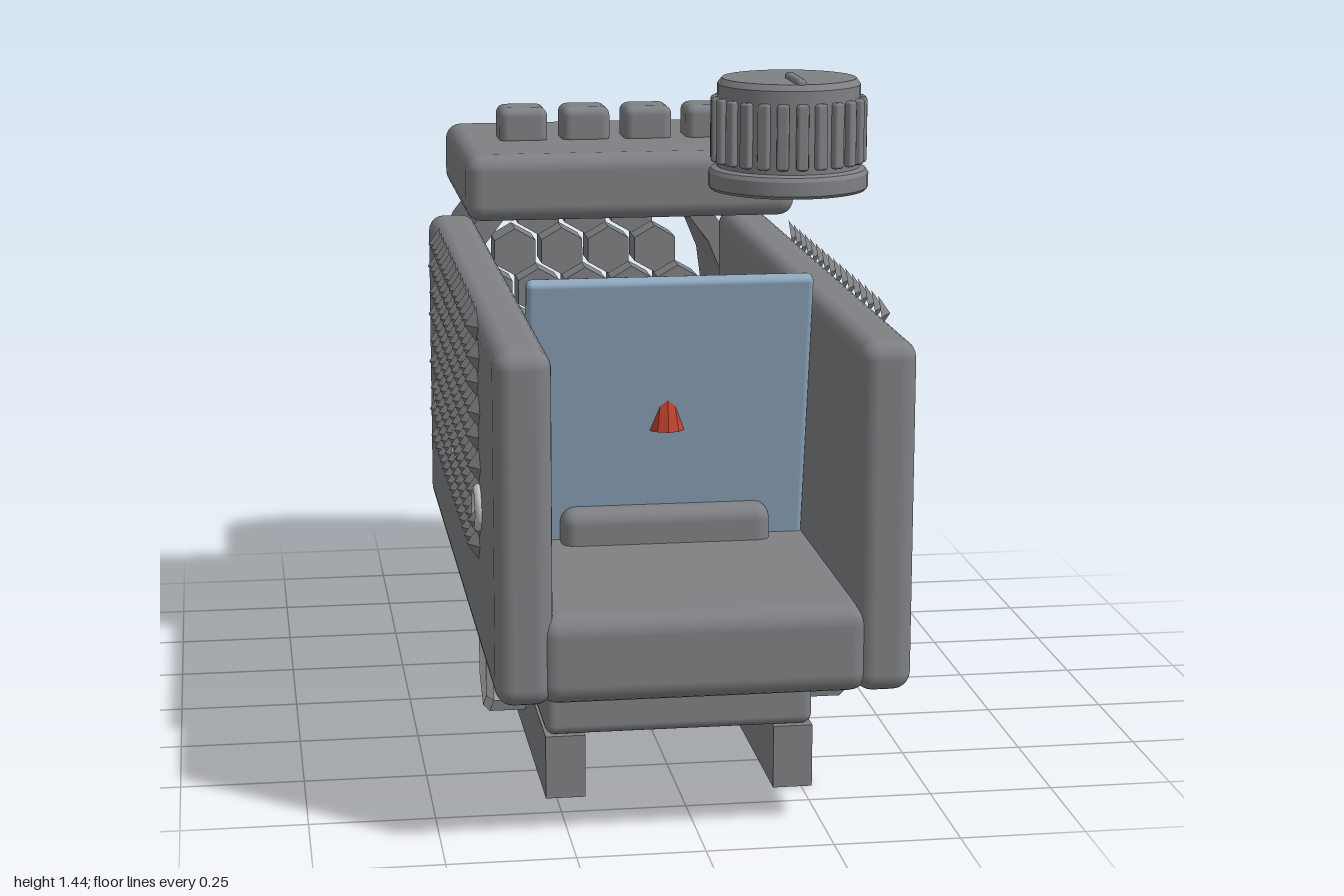
import * as THREE from 'three';
import { RoundedBoxGeometry } from 'three/addons/geometries/RoundedBoxGeometry.js';
import { mergeGeometries, toCreasedNormals } from 'three/addons/utils/BufferGeometryUtils.js';

const material = (name, color) => {
  const m = new THREE.MeshStandardMaterial({ color });
  m.name = name;
  return m;
};

export function createModel() {
  const model = new THREE.Group();
  const grey = material('bodyGrey', 0x7f8083);
  const silver = material('boltSilver', 0xc2c3c4);
  const blue = material('glassBlue', 0x8fa9c0);
  const red = material('markerRed', 0xc4432f);

  const add = (name, geo, mat, x = 0, y = 0, z = 0) => {
    const mesh = new THREE.Mesh(geo, mat);
    mesh.name = name;
    mesh.position.set(x, y, z);
    model.add(mesh);
    return mesh;
  };
  // Rounded box given by its extents
  const block = (name, [x0, x1], [y0, y1], [z0, z1], r, mat = grey) =>
    add(name, new RoundedBoxGeometry(x1 - x0, y1 - y0, z1 - z0, 3, r), mat,
      (x0 + x1) / 2, (y0 + y1) / 2, (z0 + z1) / 2);
  const flat = (geo) => toCreasedNormals(geo, 0.05);

  // Open-topped housing
  block('floor', [-0.32, 0.32], [0.30, 0.475], [-0.61, 1], 0.04);
  for (const s of [-1, 1]) {
    block('sideWall', s < 0 ? [-0.4, -0.29] : [0.29, 0.4], [0.30, 0.985], [-0.635, 1], 0.035);
  }
  block('emitterBlock', [-0.215, 0.215], [0.44, 0.547], [-0.5, 0.5], 0.03);

  // Mounting clamp and rails
  block('clamp', [-0.272, 0.272], [0.13, 0.32], [-0.31, 0.67], 0.02);
  for (const s of [-1, 1]) {
    add('rail', new THREE.BoxGeometry(0.08, 0.13, 0.98), grey, s * 0.232, 0.065, 0.18);
  }

  // Clamp nuts and cross bolts
  for (const s of [-1, 1]) {
    const profile = [[0, -0.05], [0.09, -0.05], [0.104, -0.036], [0.104, 0.036], [0.09, 0.05], [0, 0.05]]
      .map(([r, h]) => new THREE.Vector2(r, h));
    const nut = flat(new THREE.LatheGeometry(profile, 6).rotateY(Math.PI / 2).rotateZ(Math.PI / 2).rotateX(Math.PI / 2));
    nut.computeBoundingBox();
    // Keep a corner pointing down
    if (nut.boundingBox.max.y < 0.1) nut.rotateX(Math.PI / 6);
    add('clampNut', nut, silver, s * 0.33, 0.23, 0.48);
    const bolt = new THREE.CylinderGeometry(0.07, 0.07, 0.06, s > 0 ? 6 : 16).rotateZ(Math.PI / 2);
    if (s > 0) bolt.rotateX(Math.PI / 2);
    add('crossBolt', flat(bolt), grey, s * 0.29, 0.22, -0.14);
  }

  // Rear tube
  const ring = [[0.31, 0], [0.36, 0], [0.36, 0.37], [0.31, 0.37], [0.31, 0]]
    .map(([r, h]) => new THREE.Vector2(r, h));
  add('rearTube', flat(new THREE.LatheGeometry(ring, 24).rotateX(Math.PI / 2)), grey, 0, 0.75, -1);

  // Hexagonal filter cells inside the tube
  const cells = [];
  for (let row = -2; row <= 2; row++) {
    for (let col = -3; col <= 3; col++) {
      const x = (col + (row % 2 ? 0.5 : 0)) * 0.115, y = row * 0.1;
      if (Math.hypot(x, y) > 0.262) continue;
      cells.push(new THREE.CylinderGeometry(0.058, 0.058, 0.1, 6).rotateX(Math.PI / 2).translate(x, y, 0));
    }
  }
  add('filterCells', flat(mergeGeometries(cells)), grey, 0, 0.75, -0.9);

  // Control panel with four buttons
  block('controlPanel', [-0.36, 0.36], [1.06, 1.205], [-0.605, -0.015], 0.035);
  for (let i = 0; i < 4; i++) {
    const x = -0.21 + i * 0.14;
    block('button', [x - 0.054, x + 0.054], [1.19, 1.277], [-0.365, -0.255], 0.02);
  }

  // Tilted glass with aiming marker
  const glass = add('glass', new RoundedBoxGeometry(0.58, 0.585, 0.036, 2, 0.012), blue, 0, 0.745, 0.475);
  glass.rotation.x = 0.19;
  add('marker', flat(new THREE.CylinderGeometry(0.022, 0.037, 0.075, 10)), red, 0, 0.747, 0.475);

  // Adjustment knob
  const knob = [[0, 0], [0.155, 0], [0.16, 0.006], [0.16, 0.034], [0.155, 0.042], [0.143, 0.046],
    [0.143, 0.21], [0.134, 0.222], [0, 0.222]].map(([r, h]) => new THREE.Vector2(r, h));
  add('knob', toCreasedNormals(new THREE.LatheGeometry(knob, 32), 0.5), grey, 0.24, 1.205, 0.51);
  const ribs = [];
  for (let i = 0; i < 24; i++) {
    ribs.push(new RoundedBoxGeometry(0.024, 0.13, 0.03, 1, 0.006)
      .translate(0, 0, 0.141).rotateY(i * Math.PI / 12));
  }
  add('knobRibs', mergeGeometries(ribs), grey, 0.24, 1.325, 0.51);
  block('knobPointer', [0.23, 0.25], [1.415, 1.438], [0.51, 0.645], 0.008);

  // Grip studs and ring screws on both walls
  for (const s of [-1, 1]) {
    const studs = [];
    for (let row = 0; row < 9; row++) {
      const odd = row % 2;
      for (let i = 0; i < 16 + odd; i++) {
        studs.push(new THREE.ConeGeometry(0.036, 0.025, 4, 1, true).rotateZ(-s * Math.PI / 2)
          .translate(s * 0.411, 0.53 + row * 0.055, -0.295 + (i - odd / 2) * 0.0625));
      }
    }
    add('gripStuds', flat(mergeGeometries(studs)), grey);
    for (const z of [0.68, 0.185, -0.31]) {
      add('ringScrew', new THREE.TorusGeometry(0.038, 0.01, 8, 24).rotateY(Math.PI / 2), silver, s * 0.403, 0.612, z);
    }
  }
  return model;
}
